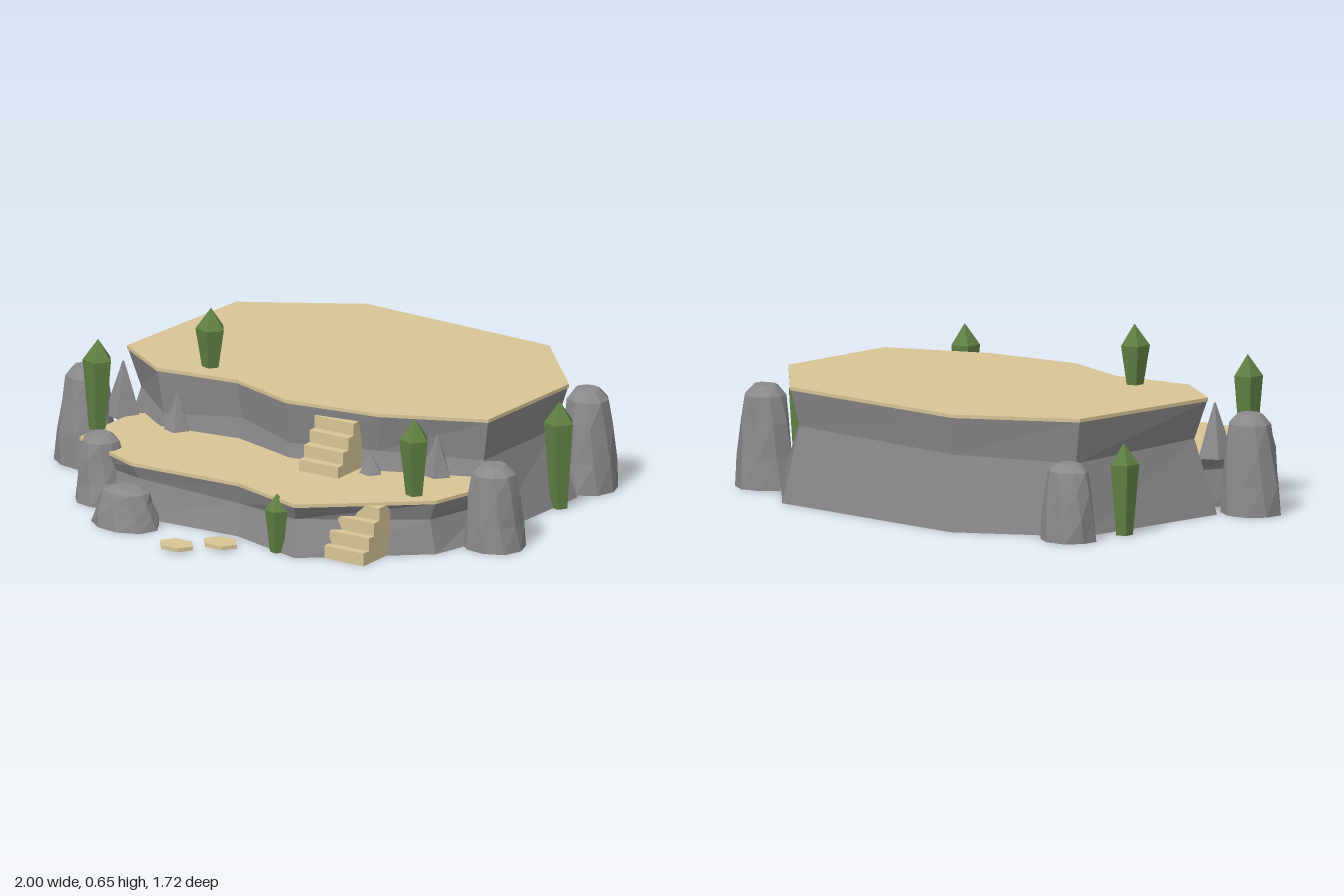
import * as THREE from 'three';

const mat = (color) => new THREE.MeshStandardMaterial({ color, flatShading: true, roughness: 0.9 });
const rock = mat(0x8b898c), sand = mat(0xd8c596), green = mat(0x5f8043);

// Repeatable noise in -1..1
const noise = (n) => {
  const s = Math.sin(n * 127.1 + 11.7) * 43758.5453;
  return (s - Math.floor(s)) * 2 - 1;
};

// Faceted solid through a stack of rings (points run from +x towards +z)
function loft(rings) {
  const pos = [];
  const tri = (...pts) => pts.forEach((p) => pos.push(p.x, p.y, p.z));
  const n = rings[0].length;
  const middle = (ring) => ring.reduce((c, p) => c.add(p), new THREE.Vector3()).divideScalar(n);
  const low = rings[0], high = rings[rings.length - 1];
  const lowMid = middle(low), highMid = middle(high);
  for (let i = 0; i < n; i++) {
    const j = (i + 1) % n;
    for (let k = 0; k + 1 < rings.length; k++) {
      const a = rings[k], b = rings[k + 1];
      tri(a[i], b[i], a[j]);
      tri(a[j], b[i], b[j]);
    }
    tri(lowMid, low[i], low[j]);
    tri(highMid, high[j], high[i]);
  }
  const geo = new THREE.BufferGeometry();
  geo.setAttribute('position', new THREE.Float32BufferAttribute(pos, 3));
  geo.computeVertexNormals();
  return geo;
}

// Outline scaled about a centre and placed at a height
const outlineRing = (outline, [cx, cz], scale, y, wobble = 0) => outline.map(([x, z], i) => {
  const s = scale + wobble * noise(i + 3);
  return new THREE.Vector3(cx + (x - cx) * s, y + wobble * noise(i + 20), cz + (z - cz) * s);
});

// Round ring with optional roughness
const roundRing = (sides, rx, rz, y, rough = 0, seed = 0, turn = 0) =>
  Array.from({ length: sides }, (_, i) => {
    const a = (i / sides) * Math.PI * 2 + turn;
    const s = 1 + rough * noise(seed + i * 3.7);
    return new THREE.Vector3(Math.cos(a) * rx * s, y, Math.sin(a) * rz * s);
  });

export function createModel() {
  const model = new THREE.Group();
  const add = (name, geo, material, x = 0, y = 0, z = 0) => {
    const mesh = new THREE.Mesh(geo, material);
    mesh.name = name;
    mesh.position.set(x, y, z);
    model.add(mesh);
    return mesh;
  };

  // Two rock terraces, pinched at mid height, each with a thin sand top
  const terraces = [
    {
      name: 'upperTerrace', top: 0.427, centre: [0, -0.3], base: 1.04, waist: 0.945,
      outline: [[0.79, -0.48], [0.775, 0.02], [0.41, 0.185], [0.04, 0.238], [-0.235, 0.145],
        [-0.555, 0.188], [-0.785, 0.035], [-0.735, -0.6], [-0.33, -0.842], [0.485, -0.81]],
    },
    {
      name: 'lowerTerrace', top: 0.203, centre: [0.05, 0.15], base: 1.0, waist: 0.94,
      outline: [[0.85, 0.0], [0.76, 0.34], [0.36, 0.66], [0.05, 0.565], [-0.4, 0.585],
        [-0.72, 0.44], [-0.71, 0.1], [-0.4, -0.02], [0.4, -0.05]],
    },
  ];
  for (const { name, top, centre, base, waist, outline } of terraces) {
    const under = top - 0.013;
    add(name + 'Rock', loft([
      outlineRing(outline, centre, base, 0),
      outlineRing(outline, centre, waist, top * 0.62, 0.018),
      outlineRing(outline, centre, 0.995, under),
    ]), rock);
    add(name + 'Sand', loft([
      outlineRing(outline, centre, 1, under),
      outlineRing(outline, centre, 1, top),
    ]), sand);
  }

  // Stairs: four steps, each a block running back into the rock
  const stairs = (name, x, y, front, back, rise) => {
    for (let i = 0; i < 4; i++) {
      const z = front - i * 0.034;
      const geo = new THREE.BoxGeometry(0.17, rise, z - back);
      add(name, geo, sand, x, y + rise * (i + 0.5), (z + back) / 2);
    }
  };
  stairs('upperStair', 0.24, 0.2, 0.325, 0.17, 0.046);
  stairs('lowerStair', 0.535, 0, 0.6, 0.43, 0.048);

  // Stepping stones
  for (const [x, z] of [[0.07, 0.705], [-0.05, 0.812]]) {
    add('steppingStone', loft([
      roundRing(6, 0.07, 0.055, 0.008),
      roundRing(6, 0.07, 0.055, 0.023),
    ]), sand, x, 0, z);
  }

  // Boulders: x, z, half width, half depth, height
  const boulders = [
    [-0.76, -0.69, 0.115, 0.095, 0.28],
    [0.785, -0.61, 0.115, 0.105, 0.375],
    [-0.88, 0.155, 0.12, 0.1, 0.365],
    [0.88, 0.143, 0.115, 0.105, 0.31],
    [-0.595, 0.49, 0.1, 0.09, 0.255],
    [-0.36, 0.675, 0.13, 0.1, 0.145],
  ];
  const boulderProfile = [[0, 1], [0.3, 0.93], [0.65, 0.82], [0.9, 0.7], [1, 0.4]];
  boulders.forEach(([x, z, rx, rz, h], b) => {
    const rings = boulderProfile.map(([t, r], k) =>
      roundRing(9, rx * r, rz * r, h * t, 0.06, b * 31 + k * 7, k * 0.12));
    add('boulder', loft(rings), rock, x, 0, z);
  });

  // Rock spikes at the foot of the upper wall: x, z, radius, height
  const spikes = [[-0.75, 0.11, 0.07, 0.2], [-0.475, 0.17, 0.055, 0.145],
    [0.385, 0.2, 0.045, 0.08], [0.6, 0.09, 0.055, 0.16]];
  spikes.forEach(([x, z, r, h], i) => {
    add('rockSpike', loft([
      roundRing(5, r, r, 0, 0.1, i * 5),
      roundRing(5, r * 0.55, r * 0.55, h * 0.5, 0.15, i * 9),
      roundRing(5, r * 0.05, r * 0.05, h),
    ]), rock, x, 0.195, z);
  });

  // Spindle plants: x, base height, z, radius, height
  const plants = [
    [-0.4, 0.425, 0.065, 0.056, 0.222],
    [-0.72, 0.2, 0.32, 0.056, 0.34],
    [0.655, 0.2, 0.32, 0.056, 0.288],
    [0.265, 0, 0.63, 0.045, 0.22],
    [0.83, 0, -0.36, 0.057, 0.4],
    [-0.84, 0, -0.48, 0.056, 0.335],
  ];
  plants.forEach(([x, y, z, r, h]) => {
    const shoulder = h - r * 1.35;
    add('plant', loft([
      roundRing(5, r * 0.58, r * 0.58, 0),
      roundRing(5, r, r, shoulder),
      roundRing(5, r * 0.02, r * 0.02, h),
    ]), green, x, y, z);
  });

  return model;
}
